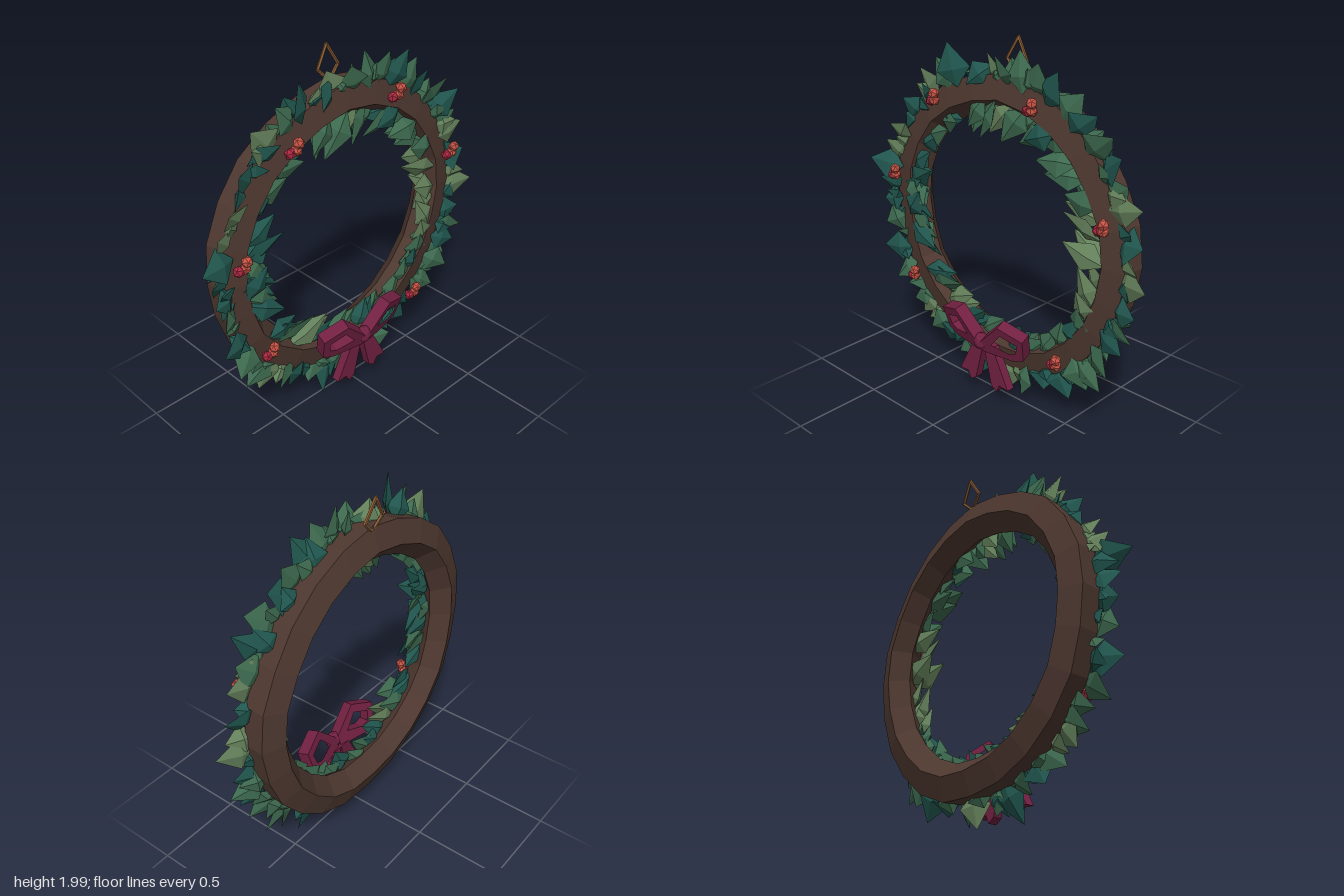
import * as THREE from 'three';

const CY = 0.985; // height of the wreath centre

function paint(name, color) {
  const m = new THREE.MeshStandardMaterial({ color, flatShading: true });
  m.name = name;
  return m;
}

// Leaf tips in hundredths (x, y) with one colour letter per leaf
const OUTER = {
  tips: [13, 196, 28, 192, 41, 190, 53, 181, 62, 172, 74, 165, 81, 157, 83, 143, 91, 133, 93, 115, 98, 95,
    91, 78, 92, 65, 86, 57, 79, 42, 72, 29, 62, 25, 50, 14, 34, 14, 20, 6, 6, 2, -7, 6,
    -22, 0, -31, 12, -43, 14, -53, 21, -64, 26, -72, 32, -80, 46, -89, 65, -87, 80, -90, 94, -92, 107,
    -98, 118, -86, 131, -80, 142, -71, 158, -58, 168, -60, 176, -46, 184, -34, 194, -18, 186, -11, 191, 0, 192],
  tones: 'MMDMDMDMODODMDMMMDDMOMDMDMOMMDMDDDOODDOMDDOM',
};
const INNER = {
  tips: [2, 147, 12, 148, 19, 152, 27, 144, 32, 138, 46, 131, 42, 120, 47, 107, 54, 95, 56, 83, 57, 73,
    54, 64, 46, 61, 51, 51, 42, 53, 27, 45, 16, 46, 3, 45, -10, 46, -17, 54, -26, 58, -35, 60,
    -47, 73, -49, 78, -50, 89, -56, 97, -58, 106, -54, 119, -47, 121, -50, 131, -47, 140, -39, 145,
    -29, 152, -23, 150, -15, 145, -7, 150],
  tones: 'MMDMMMOOOOMDMDMMDMDOMDDMDMDDDDDMDMMO',
};

export function createModel() {
  const root = new THREE.Group();
  root.name = 'wreath';
  const wood = paint('bark brown', 0x4e3830);
  wood.side = THREE.DoubleSide;
  const tones = {
    D: paint('deep teal green', 0x21574f),
    M: paint('mid green', 0x3e6b50),
    O: paint('olive green', 0x65825c),
  };
  const crimson = paint('crimson berry', 0xa82840);
  const coral = paint('coral berry', 0xc85446);
  const wine = paint('wine ribbon', 0x722041);
  const twine = paint('twine', 0x8a5c34);

  let seed = 7;
  const rand = () => {
    seed = (seed * 16807) % 2147483647;
    return seed / 2147483647;
  };
  const spread = (amount) => amount * (2 * rand() - 1);
  const add = (name, geo, mat, parent = root) => {
    const m = new THREE.Mesh(geo, mat);
    m.name = name;
    parent.add(m);
    return m;
  };
  const group = (name) => {
    const g = new THREE.Group();
    g.name = name;
    root.add(g);
    return g;
  };

  // Wooden hoop: five-sided section swept around z
  const section = [];
  for (let i = 0; i <= 5; i++) {
    const a = THREE.MathUtils.degToRad(-32 + 72 * i);
    section.push(new THREE.Vector2(0.74 + 0.112 * Math.cos(a), -0.08 + 0.1 * Math.sin(a)));
  }
  const hoop = new THREE.LatheGeometry(section, 24);
  hoop.rotateX(Math.PI / 2);
  const hp = hoop.attributes.position;
  for (let i = 0; i < hp.count; i++) { // gentle hand-made wobble
    const a = Math.atan2(hp.getY(i), hp.getX(i));
    const k = 1 + 0.007 * Math.sin(5 * a + 1) + 0.005 * Math.sin(9 * a);
    hp.setXY(i, hp.getX(i) * k, hp.getY(i) * k);
  }
  add('hoop', hoop, wood).position.y = CY;

  // One faceted leaf, base at the origin, tip at y = 1, widest below the middle
  const leafGeo = new THREE.OctahedronGeometry(1);
  leafGeo.scale(0.5, 0.5, 1).translate(0, 0.5, 0);
  const lp = leafGeo.attributes.position;
  for (let i = 0; i < lp.count; i++) if (Math.abs(lp.getY(i) - 0.5) < 0.01) lp.setY(i, 0.4);
  leafGeo.computeVertexNormals();

  function leaf(parent, base, tip, width, roll, mat) {
    const dir = tip.clone().sub(base);
    const len = dir.length();
    dir.normalize();
    const side = new THREE.Vector3().crossVectors(dir, new THREE.Vector3(0, 0, 1)).normalize();
    const normal = new THREE.Vector3().crossVectors(side, dir);
    const m = add('leaf', leafGeo, mat, parent);
    m.position.copy(base);
    m.quaternion.setFromRotationMatrix(new THREE.Matrix4().makeBasis(side, dir, normal));
    m.rotateY(roll);
    m.scale.set(width, len, 0.026);
  }

  // A ring of leaves growing from radius baseR; pull moves the tips in or out
  function leafRow(name, row, { baseR, baseZ, tipZ, width, slant, turn = 0, pull = 1 }) {
    const g = group(name);
    for (let i = 0; i < row.tones.length; i++) {
      const x = row.tips[2 * i] / 100, y = row.tips[2 * i + 1] / 100 - CY;
      const a = Math.atan2(y, x) + turn;
      const r = Math.hypot(x, y) * pull;
      const b = a + slant(a);
      const base = new THREE.Vector3(baseR * Math.cos(b), CY + baseR * Math.sin(b), baseZ + spread(0.03));
      // side leaves reach further forward than those at top and bottom
      const tip = new THREE.Vector3(r * Math.cos(a), CY + r * Math.sin(a), tipZ + 0.03 * Math.cos(a) ** 2 + spread(0.035));
      leaf(g, base, tip, width + 0.04 * rand(), spread(0.55), tones[row.tones[i]]);
    }
  }
  const lean = (a) => (a > 2 ? 0.26 : -0.26) * (0.7 + 0.5 * rand());
  const sway = () => spread(0.08);
  leafRow('outerLeaves', OUTER, { baseR: 0.775, baseZ: -0.03, tipZ: -0.005, width: 0.16, slant: sway });
  leafRow('outerFillLeaves', OUTER,
    { baseR: 0.78, baseZ: -0.045, tipZ: -0.02, width: 0.12, slant: sway, turn: 0.07, pull: 0.94 });
  leafRow('innerLeaves', INNER, { baseR: 0.705, baseZ: -0.02, tipZ: -0.015, width: 0.125, slant: lean });
  leafRow('innerFillLeaves', INNER,
    { baseR: 0.7, baseZ: -0.045, tipZ: -0.035, width: 0.12, slant: lean, turn: 0.09, pull: 1.07 });

  // Berry clusters: angle and distance from the centre
  const berryGeo = new THREE.IcosahedronGeometry(0.031, 0);
  const berries = group('berries');
  for (const [deg, r] of [[18, 0.773], [69, 0.78], [122, 0.775], [168, 0.77], [215, 0.75], [308.5, 0.755]]) {
    const a = THREE.MathUtils.degToRad(deg);
    const x = r * Math.cos(a), y = CY + r * Math.sin(a);
    for (const [dx, dy, z, mat] of [[0.018, 0.024, 0.078, coral], [-0.022, -0.022, 0.062, crimson], [0.012, -0.014, 0.068, coral]]) {
      const b = add('berry', berryGeo, mat, berries);
      b.position.set(x + dx, y + dy, z);
      b.rotation.set(deg, dx * 40, 0);
    }
  }

  // Ribbon bow, mirrored left and right
  const poly = (pts, Type = THREE.Shape) => new Type(pts.map(([x, y]) => new THREE.Vector2(x, y)));
  const slab = (shape, depth) => new THREE.ExtrudeGeometry(shape, { depth, bevelEnabled: false });
  const bow = group('bow');
  for (const s of [1, -1]) {
    const mir = (pts) => pts.map(([x, y]) => [s * x, y]);
    const loop = poly(mir([[0.01, 0.04], [0.15, 0.175], [0.295, 0.115], [0.275, -0.02], [0.2, -0.045], [0.01, -0.03]]));
    loop.holes.push(poly(mir([[0.08, 0.035], [0.155, 0.12], [0.25, 0.08], [0.235, 0.02], [0.19, 0.005]]), THREE.Path));
    const loopMesh = add('bowLoop', slab(loop, 0.07), wine, bow);
    loopMesh.position.set(0, 0.36, 0.085);
    loopMesh.rotation.set(0.28, s * 0.18, 0);
    const tail = poly(mir([[0, 0.34], [0.07, 0.34], [0.185, 0.115], [0.122, 0.12], [0.1, 0.075], [0.06, 0.1]]));
    add('bowTail', slab(tail, 0.05), wine, bow).position.z = 0.065;
  }
  const knot = add('bowKnot', new THREE.IcosahedronGeometry(0.05, 1), wine, bow);
  knot.position.set(0, 0.36, 0.125);
  knot.scale.set(1.05, 1, 0.85);

  // Hanging loop of twine at the top
  const hanger = group('hanger');
  const corners = [[0, 1.985, -0.15], [0.068, 1.87, -0.14], [0, 1.8, -0.13], [-0.068, 1.87, -0.14]]
    .map((p) => new THREE.Vector3(...p));
  corners.forEach((p, i) => {
    const q = corners[(i + 1) % 4];
    const strand = add('twineStrand', new THREE.CylinderGeometry(0.009, 0.009, p.distanceTo(q) + 0.008, 5), twine, hanger);
    strand.position.copy(p).lerp(q, 0.5);
    strand.quaternion.setFromUnitVectors(new THREE.Vector3(0, 1, 0), q.clone().sub(p).normalize());
  });
  return root;
}
